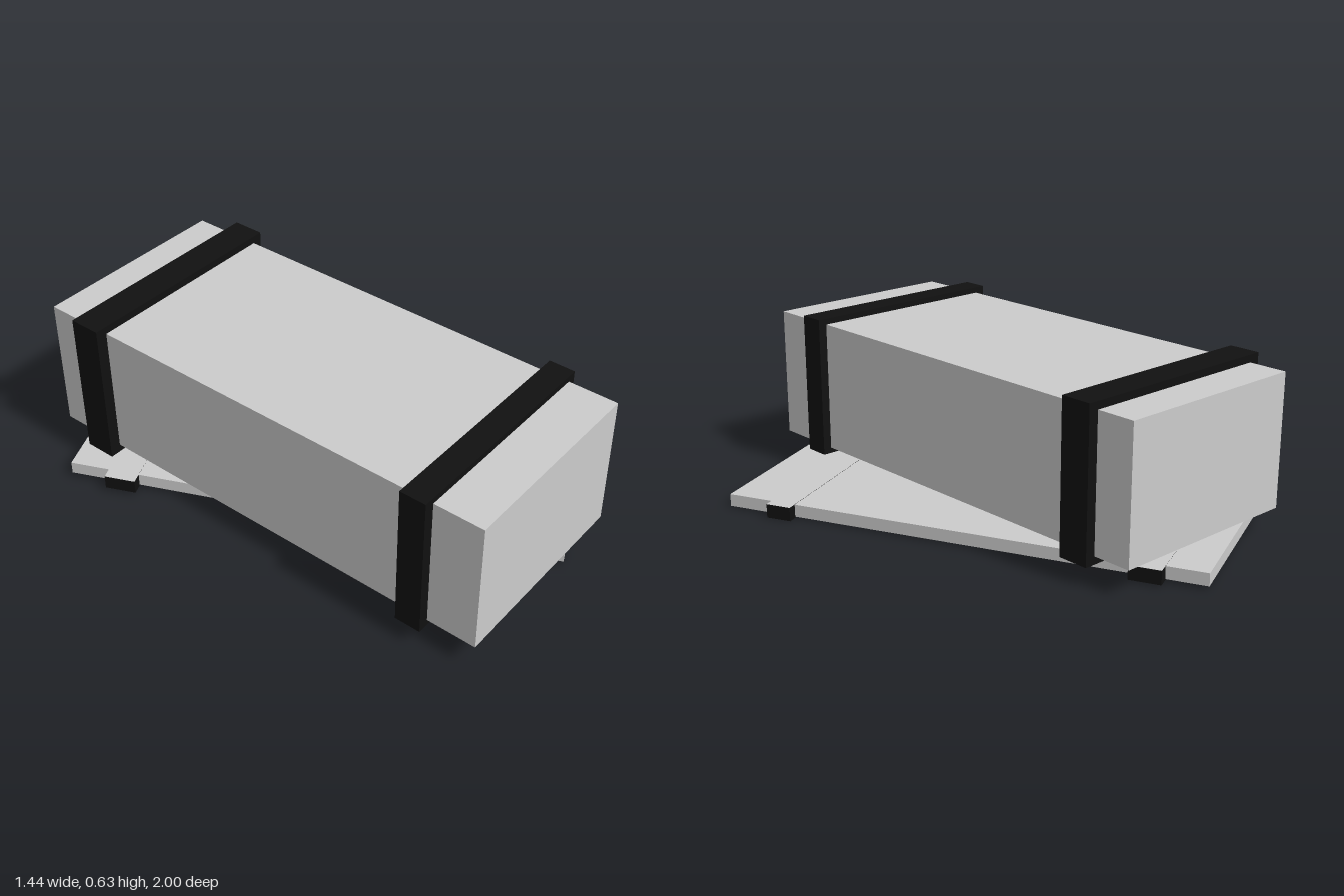
import * as THREE from 'three';

const grey = new THREE.MeshStandardMaterial({ color: 0xcccccc });
const black = new THREE.MeshStandardMaterial({ color: 0x111111 });

// Box given by its extents along each axis
function slab(name, [x0, x1], [y0, y1], [z0, z1], material) {
  const mesh = new THREE.Mesh(new THREE.BoxGeometry(x1 - x0, y1 - y0, z1 - z0), material);
  mesh.position.set((x0 + x1) / 2, (y0 + y1) / 2, (z0 + z1) / 2);
  mesh.name = name;
  return mesh;
}

export function createModel() {
  const model = new THREE.Group();
  model.name = 'strappedBox';

  // Long box with a band around each end
  const box = new THREE.Group();
  box.name = 'box';
  box.add(
    slab('boxBody', [-0.56, 0.217], [0.1, 0.603], [-0.865, 1], grey),
    slab('boxBackBand', [-0.604, 0.256], [0.07, 0.632], [-0.715, -0.594], black),
    slab('boxFrontBand', [-0.6, 0.251], [0.078, 0.626], [0.715, 0.813], black),
  );

  // Thin lid lying askew underneath, tipped slightly to one side
  const lid = new THREE.Group();
  lid.name = 'lid';
  lid.position.set(0, 0.036, -0.012);
  lid.rotation.set(0, 0.4215, -0.0105, 'ZYX');

  // Lid battens are black with a grey upper face
  const battenFaces = [black, black, grey, black, black, black];
  lid.add(
    slab('lidPanel', [-0.38, 0.38], [-0.0235, 0.0235], [-0.913, 0.913], grey),
    slab('lidBackBatten', [-0.422, 0.422], [-0.028, 0.0245], [-0.764, -0.648], battenFaces),
    slab('lidFrontBatten', [-0.416, 0.416], [-0.028, 0.0245], [0.637, 0.734], battenFaces),
  );

  model.add(box, lid);
  return model;
}
